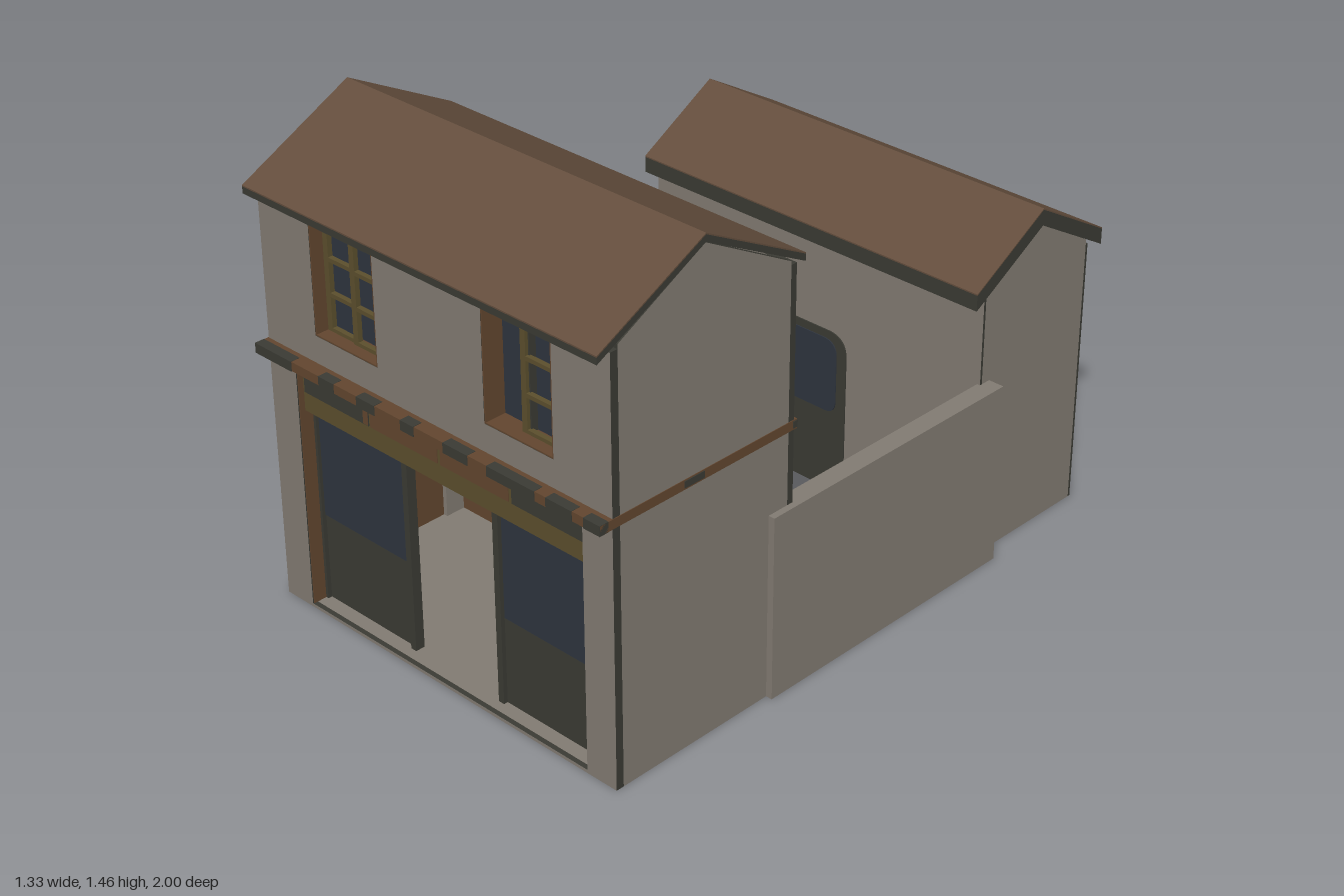
import * as THREE from 'three';

const flat = (name, color) => {
  const m = new THREE.MeshStandardMaterial({ color });
  m.name = name;
  return m;
};

export function createModel() {
  const wall = flat('plaster', 0x827b72);
  const roof = flat('roofTile', 0x644e3d);
  const dark = flat('darkPaint', 0x3b3b34);
  const wood = flat('brownWood', 0x62462f);
  const glass = flat('glass', 0x2f353f);
  const olive = flat('oliveFrame', 0x5c4f2d);

  const model = new THREE.Group();
  model.name = 'shopHouse';
  let parent = model;
  const section = (name) => {
    parent = new THREE.Group();
    parent.name = name;
    model.add(parent);
  };
  const add = (name, geo, mat) => {
    const m = new THREE.Mesh(geo, mat);
    m.name = name;
    parent.add(m);
    return m;
  };

  // Box given by its limits
  const box = (name, x0, x1, y0, y1, z0, z1, mat) => {
    const g = new THREE.BoxGeometry(x1 - x0, y1 - y0, z1 - z0);
    g.translate((x0 + x1) / 2, (y0 + y1) / 2, (z0 + z1) / 2);
    return add(name, g, mat);
  };
  const rectPoints = (x0, x1, y0, y1) =>
    [[x0, y0], [x1, y0], [x1, y1], [x0, y1]].map(([x, y]) => new THREE.Vector2(x, y));
  // Upright panel with rectangular holes, extruded from z0 to z1
  const panel = (name, rect, holes, z0, z1, mat) => {
    const s = new THREE.Shape(rectPoints(...rect));
    holes.forEach((h) => s.holes.push(new THREE.Path(rectPoints(...h))));
    const g = new THREE.ExtrudeGeometry(s, { depth: z1 - z0, bevelEnabled: false });
    g.translate(0, 0, z0);
    return add(name, g, mat);
  };
  // Profile in (z, y) extruded between x0 and x1
  const prism = (name, pts, x0, x1, mat) => {
    const s = new THREE.Shape(pts.map(([z, y]) => new THREE.Vector2(z, y)));
    const g = new THREE.ExtrudeGeometry(s, { depth: x1 - x0, bevelEnabled: false });
    g.rotateY(-Math.PI / 2).translate(x1, 0, 0);
    return add(name, g, mat);
  };
  // Gabled roof: dark slab with a thin tiled skin
  const gableRoof = (eaveA, ridge, eaveB, t, half) => {
    const line = [eaveA, ridge, eaveB];
    const chevron = (up, down) => [
      ...line.map(([z, y]) => [z, y + up]),
      ...line.map(([z, y]) => [z, y + down]).reverse()];
    prism('roofSlab', chevron(-0.004, -t), -half, half, dark);
    prism('roofTiles', chevron(0, -0.004), -half, half, roof);
  };
  // Lining of a window opening
  const reveal = (x0, x1, y0, y1, z0, z1) =>
    panel('windowReveal', [x0, x1, y0, y1], [[x0 + 0.004, x1 - 0.004, y0 + 0.004, y1 - 0.004]], z0, z1, wood);
  const edged = [wall, dark];

  // ---- Front house ----
  section('frontHouse');
  const win = [[-0.445, -0.2], [0.2, 0.445]];
  panel('frontWall', [-0.645, 0.645, 0, 1.262],
    [[-0.54, 0.54, 0.01, 0.74], ...win.map(([a, b]) => [a, b, 0.89, 1.22])], 0.93, 0.955, edged);
  panel('rearWall', [-0.645, 0.645, 0, 1.255], [[-0.165, 0.165, 0.01, 0.62]], 0.31, 0.33, edged);
  panel('rearWallLining', [-0.62, 0.62, 0.01, 0.78], [[-0.165, 0.165, 0.011, 0.62]], 0.33, 0.335, wood);
  for (const s of [-1, 1]) {
    const gable = [[0.33, 0], [0.93, 0], [0.93, 1.275], [0.635, 1.43], [0.33, 1.265]];
    prism('gableWall', gable, s * 0.635 - 0.01, s * 0.635 + 0.01, edged);
    box('sideLining', s * 0.622 - 0.003, s * 0.622 + 0.003, 0.01, 0.78, 0.33, 0.93, wood);
  }
  box('floor', -0.625, 0.625, 0.004, 0.01, 0.33, 0.94, wall);
  gableRoof([1, 1.272], [0.635, 1.456], [0.28, 1.272], 0.024, 0.647);

  // Weathered floor band between the storeys
  box('band', -0.647, 0.647, 0.78, 0.808, 0.3, 0.998, wood);
  [[-0.647, -0.5], [-0.39, -0.33], [-0.24, -0.17], [-0.07, -0.02], [0.09, 0.18], [0.25, 0.42], [0.46, 0.55], [0.59, 0.647]]
    .forEach(([a, b]) => box('bandPatch', a, b, 0.779, 0.809, 0.97, 1, dark));
  for (const s of [-1, 1]) {
    for (const [a, b] of [[0.3, 0.315], [0.64, 0.71]]) {
      box('bandSidePatch', s * 0.647 - 0.002, s * 0.647 + 0.002, 0.785, 0.805, a, b, dark);
    }
  }

  // Upper windows: fixed glass, barred sashes; the right one stands half open
  const sash = (x0, x1, z) => {
    const holes = [];
    const h = 0.31 / 3;
    for (let i = 0; i < 3; i++) {
      holes.push([x0 + 0.018, x1 - 0.012, 0.905 + i * h, 0.893 + (i + 1) * h]);
    }
    panel('windowSash', [x0, x1, 0.892, 1.218], holes, z, z + 0.015, olive);
  };
  for (const [a, b] of win) {
    reveal(a, b, 0.89, 1.22, 0.885, 0.954);
    box('windowGlass', a, b, 0.89, 1.22, 0.88, 0.888, glass);
  }
  sash(-0.44, -0.327, 0.9);
  sash(-0.332, -0.204, 0.905);
  sash(0.3, 0.441, 0.905);
  box('sashEdge', 0.312, 0.322, 0.892, 1.218, 0.888, 0.91, dark);

  // ---- Shop front ----
  section('shopFront');
  box('signBoard', -0.54, 0.54, 0.62, 0.74, 0.895, 0.935, olive);
  [[-0.53, -0.272, dark], [-0.265, -0.006, wood], [0.006, 0.258, wood], [0.27, 0.53, dark]]
    .forEach(([a, b, m]) => box('signPanel', a, b, 0.68, 0.734, 0.932, 0.938, m));
  box('signPanelStain', -0.292, -0.273, 0.682, 0.734, 0.936, 0.939, wood);
  for (const s of [-1, 1]) {
    const span = (name, a, b, y0, y1, z0, z1, m) =>
      box(name, Math.min(s * a, s * b), Math.max(s * a, s * b), y0, y1, z0, z1, m);
    span('shopPanel', 0.165, 0.54, 0.01, 0.62, 0.885, 0.897, dark);
    span('shopGlass', 0.187, 0.527, 0.28, 0.615, 0.895, 0.901, glass);
    span('doorPost', 0.163, 0.183, 0.01, 0.62, 0.88, 0.91, dark);
    span('outerPost', 0.528, 0.54, 0.01, 0.62, 0.88, 0.91, dark);
    span('jambLining', 0.537, 0.541, 0.01, 0.74, 0.9, 0.952, wood);
  }

  // ---- Courtyard walls ----
  section('courtyard');
  for (const s of [-1, 1]) {
    box('courtyardWall', s * 0.635 - 0.03, s * 0.635 + 0.03, 0, 0.562, -0.53, 0.4, wall);
  }

  // ---- Back house ----
  section('backHouse');
  const H = 0.615;
  const rearWin = [[-0.45, -0.2], [0.2, 0.45]];
  panel('rearWall', [-H, H, 0, 0.83], rearWin.map(([a, b]) => [a, b, 0.22, 0.61]), -0.948, -0.94, edged);
  panel('courtWall', [-H, H, 0, 0.83], [], -0.498, -0.49, edged);
  for (const s of [-1, 1]) {
    const gable = [[-0.94, 0], [-0.498, 0], [-0.498, 0.845], [-0.72, 0.975], [-0.94, 0.845]];
    prism('gableWall', gable, s * (H - 0.01) - 0.01, s * (H - 0.01) + 0.01, edged);
  }
  box('base', -H + 0.01, H - 0.01, 0.001, 0.01, -0.942, -0.496, dark);
  gableRoof([-0.445, 0.865], [-0.72, 1.024], [-0.998, 0.865], 0.052, 0.625);
  for (const [a, b] of rearWin) {
    reveal(a, b, 0.22, 0.61, -0.947, -0.885);
    box('windowGlass', a, b, 0.22, 0.61, -0.888, -0.88, glass);
  }

  // Courtyard door with a rounded window
  const rounded = (name, x0, x1, y0, y1, r, rBottom, z, mat) => {
    const s = new THREE.Shape();
    s.moveTo(x0 + rBottom, y0).lineTo(x1 - rBottom, y0);
    s.quadraticCurveTo(x1, y0, x1, y0 + rBottom).lineTo(x1, y1 - r);
    s.quadraticCurveTo(x1, y1, x1 - r, y1).lineTo(x0 + r, y1);
    s.quadraticCurveTo(x0, y1, x0, y1 - r).lineTo(x0, y0 + rBottom);
    s.quadraticCurveTo(x0, y0, x0 + rBottom, y0);
    const g = new THREE.ExtrudeGeometry(s, { depth: 0.004, bevelEnabled: false });
    add(name, g.translate(0, 0, z), mat);
  };
  rounded('door', -0.148, 0.134, 0.002, 0.525, 0.07, 0, -0.49, dark);
  rounded('doorWindow', -0.108, 0.1, 0.262, 0.5, 0.05, 0.04, -0.487, glass);

  return model;
}
